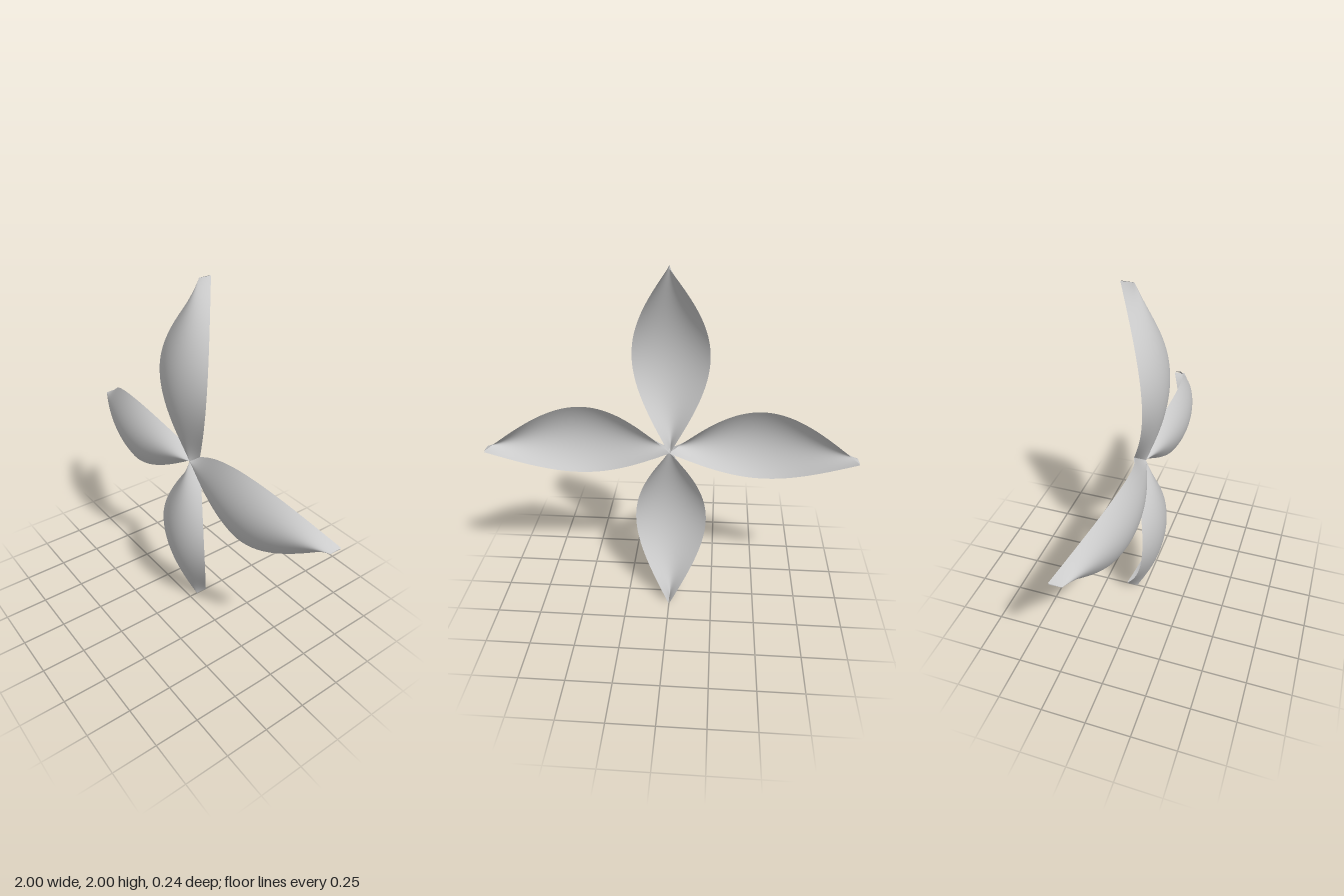
import * as THREE from 'three';

const HALF_WIDTH = 0.205;
const ARCH = 0.068;

// One petal growing along +y: leaf outline, bowed lengthwise, arched across
function petalGeometry() {
  const geo = new THREE.PlaneGeometry(2, 1, 24, 48);
  const pos = geo.attributes.position;
  for (let i = 0; i < pos.count; i++) {
    const s = pos.getX(i);
    const r = pos.getY(i) + 0.5;
    const wave = Math.sin(Math.PI * r);
    const halfWidth = 0.003 + (HALF_WIDTH - 0.003) * wave;
    const ridge = 0.006 + 0.141 * wave - 0.056 * r;
    pos.setXYZ(i, s * halfWidth, r, ridge - ARCH * s * s);
  }
  geo.computeVertexNormals();
  return geo;
}

export function createModel() {
  const model = new THREE.Group();
  model.name = 'fourPetalFlower';
  const material = new THREE.MeshStandardMaterial({ color: 0xcccccc, side: THREE.DoubleSide });
  const geometry = petalGeometry();

  // Four identical petals around the centre
  ['topPetal', 'rightPetal', 'bottomPetal', 'leftPetal'].forEach((name, i) => {
    const petal = new THREE.Mesh(geometry, material);
    petal.name = name;
    petal.position.y = 1;
    petal.rotation.z = i * Math.PI / 2;
    model.add(petal);
  });
  return model;
}
